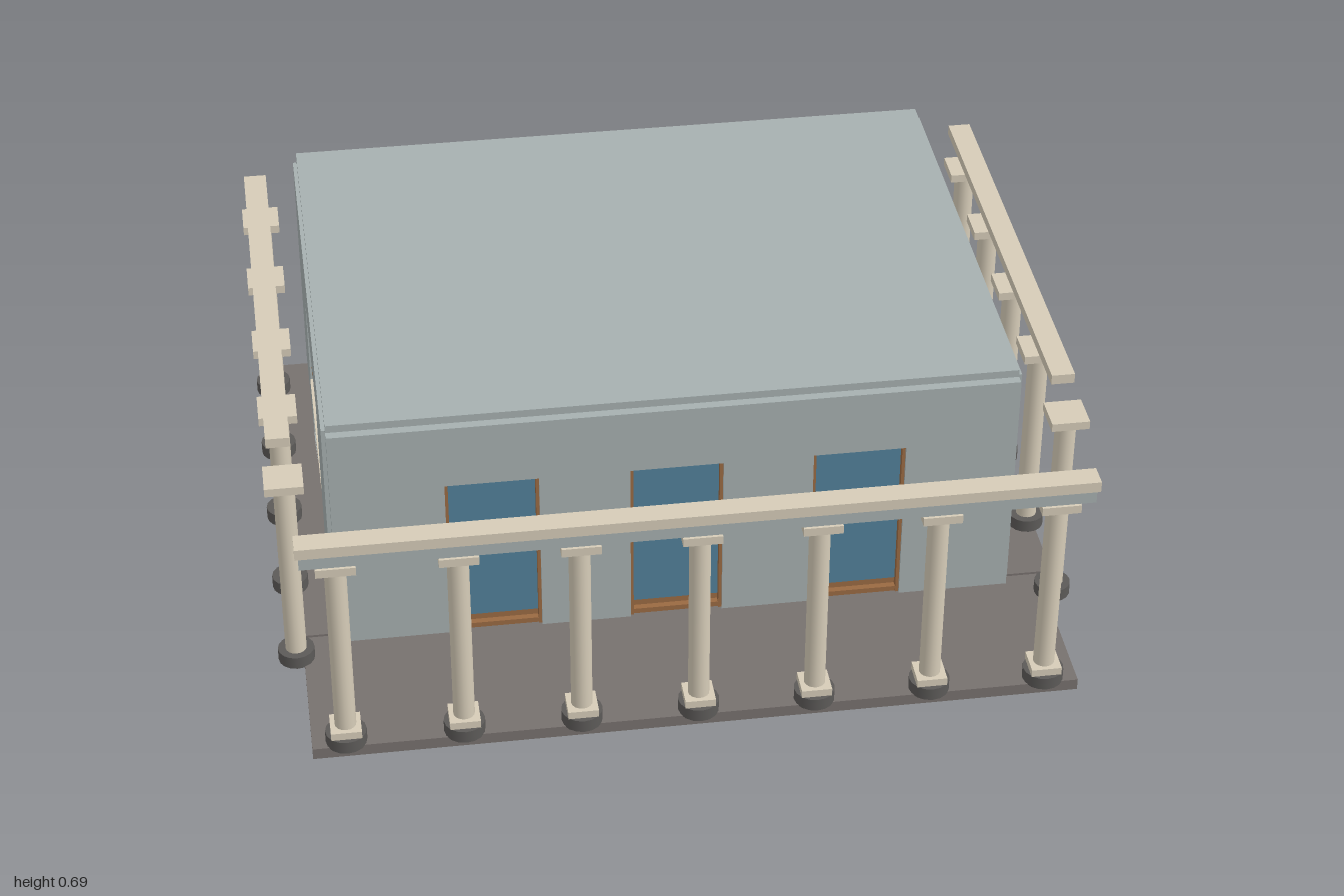
import * as THREE from 'three';

const mat = (color) => new THREE.MeshStandardMaterial({ color });
const wallMat = mat(0xa6b0b0), stoneMat = mat(0xd6ccb8), paveMat = mat(0x77716e);
const baseMat = mat(0x5c5a58), woodMat = mat(0x9a6a42), glassMat = mat(0x52809a);
const panelMat = mat(0x93a5a8);

export function createModel() {
  const model = new THREE.Group();

  // Box given by its min and max along each axis
  function box(name, material, [x0, x1], [y0, y1], [z0, z1], parent = model) {
    const m = new THREE.Mesh(new THREE.BoxGeometry(x1 - x0, y1 - y0, z1 - z0), material);
    m.position.set((x0 + x1) / 2, (y0 + y1) / 2, (z0 + z1) / 2);
    m.name = name;
    parent.add(m);
    return m;
  }

  // Flat wall with rectangular openings [u0, u1, y0, y1]
  function wall(name, u0, u1, y0, y1, depth, openings) {
    const rect = (C, a, b, c, d) => {
      const s = new C();
      s.moveTo(a, c); s.lineTo(b, c); s.lineTo(b, d); s.lineTo(a, d); s.closePath();
      return s;
    };
    const shape = rect(THREE.Shape, u0, u1, y0, y1);
    openings.forEach((o) => shape.holes.push(rect(THREE.Path, ...o)));
    const m = new THREE.Mesh(new THREE.ExtrudeGeometry(shape, { depth, bevelEnabled: false }), wallMat);
    m.name = name;
    model.add(m);
    return m;
  }

  // Mirrored x range for the left (+1) or right (-1) side
  const side = (s, a, b) => (s > 0 ? [a, b] : [-b, -a]);

  // Floor, roof and back wall
  box('woodFloor', woodMat, [-0.845, 0.845], [0, 0.05], [-0.84, 0.42]);
  box('roof', wallMat, [-0.845, 0.845], [0.665, 0.695], [-0.845, 0.42]);
  box('backWall', wallMat, [-0.845, 0.845], [0.035, 0.68], [-0.865, -0.825]);

  // Front wall with three doorways
  const doors = [-0.453, 0, 0.453];
  const half = 0.115;
  wall('frontWall', -0.845, 0.845, 0.04, 0.675, 0.035,
    doors.map((x) => [x - half, x + half, 0.05, 0.505])).position.z = 0.408;
  doors.forEach((x) => {
    const g = new THREE.Group();
    g.name = 'door';
    model.add(g);
    box('doorGlass', glassMat, [x - half, x + half], [0.085, 0.505], [0.412, 0.42], g);
    box('doorSill', woodMat, [x - half, x + half], [0.045, 0.066], [0.4, 0.432], g);
    box('doorBottomRail', woodMat, [x - half, x + half], [0.066, 0.086], [0.405, 0.416], g);
    for (const s of [-1, 1]) {
      const e = x + s * (half - 0.004);
      box('doorJamb', woodMat, [e - 0.004, e + 0.004], [0.05, 0.505], [0.405, 0.436], g);
    }
  });

  // Side walls, each with a tall window bay
  for (const s of [-1, 1]) {
    wall('sideWall', -0.83, 0.41, 0.04, 0.675, 0.03, [[-0.46, 0.012, 0.05, 0.47]])
      .rotation.y = -Math.PI / 2;
    model.children[model.children.length - 1].position.x = s > 0 ? 0.855 : -0.825;
    const g = new THREE.Group();
    g.name = 'sideWindow';
    model.add(g);
    box('windowGlass', glassMat, side(s, 0.826, 0.836), [0.235, 0.47], [-0.46, 0.012], g);
    box('lowerPanel', panelMat, side(s, 0.826, 0.842), [0.05, 0.21], [-0.46, 0.012], g);
    box('windowLedge', stoneMat, side(s, 0.822, 0.856), [0.21, 0.225], [-0.46, 0.012], g);
    box('windowRail', woodMat, side(s, 0.826, 0.842), [0.225, 0.236], [-0.46, 0.012], g);
    box('windowJamb', woodMat, side(s, 0.826, 0.85), [0.235, 0.47], [-0.46, -0.452], g);
  }

  // Paved walkways around the front and sides
  box('frontWalkway', paveMat, [-0.935, 0.935], [0.022, 0.052], [0.415, 0.838]);
  for (const s of [-1, 1])
    box('sideWalkway', paveMat, side(s, 0.845, 0.972), [0.02, 0.05], [-0.79, 0.405]);

  // Columns: dark round base, optional plinth ring, shaft and square capital
  function column(x, z, ringed) {
    const g = new THREE.Group();
    g.name = 'column';
    g.position.set(x, 0, z);
    const cyl = (name, r, y0, y1, material) => {
      const m = new THREE.Mesh(new THREE.CylinderGeometry(r, r, y1 - y0, 16), material);
      m.position.y = (y0 + y1) / 2;
      m.name = name;
      g.add(m);
    };
    cyl('columnBase', ringed ? 0.05 : 0.045, 0.05, 0.083, baseMat);
    if (ringed) box('columnPlinth', stoneMat, [-0.037, 0.037], [0.083, 0.103], [-0.037, 0.037], g);
    cyl('columnShaft', 0.026, 0.083, 0.585, stoneMat);
    box('columnCapital', stoneMat, [-0.047, 0.047], [0.583, 0.605], [-0.047, 0.047], g);
    model.add(g);
  }
  for (let i = -3; i <= 3; i++) column(i * 0.284, 0.812, true);
  for (const s of [-1, 1])
    for (let i = 0; i < 5; i++) column(s * 0.953, 0.485 - i * 0.291, false);

  // Beams over the colonnades
  box('frontLowerBeam', wallMat, [-0.935, 0.935], [0.605, 0.637], [0.803, 0.852]);
  box('frontBeam', stoneMat, [-0.943, 0.943], [0.637, 0.665], [0.798, 0.855]);
  for (const s of [-1, 1])
    box('sideBeam', stoneMat, side(s, 0.93, 0.988), [0.637, 0.663], [-0.797, 0.41]);

  return model;
}
